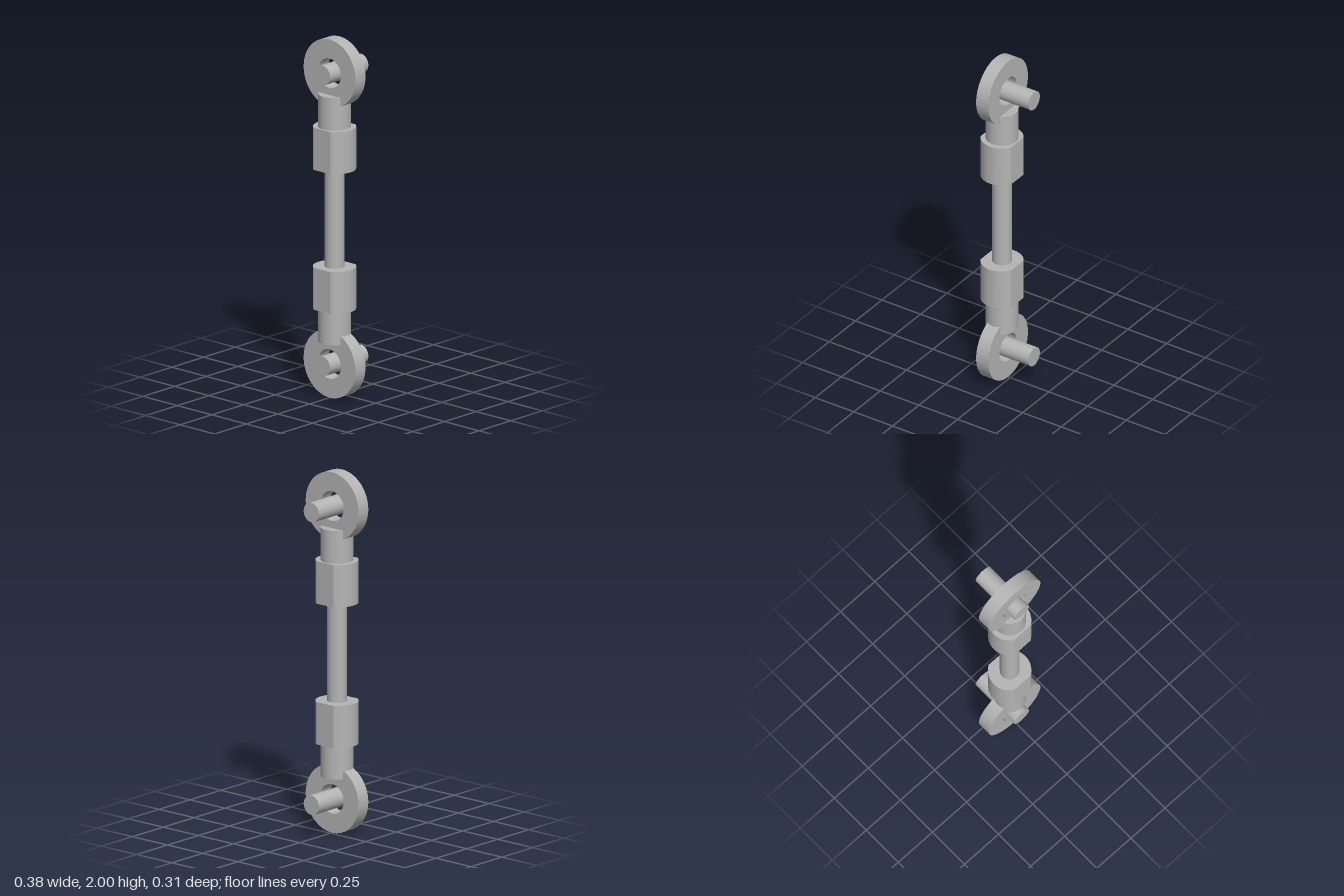
import * as THREE from 'three';
import { toCreasedNormals } from 'three/addons/utils/BufferGeometryUtils.js';

const AXIS_Z = 0.053; // depth of the rod axis
const EYE_Y = 1.812;

export function createModel() {
  const group = new THREE.Group();
  const steel = new THREE.MeshStandardMaterial({ color: 0xb4b4b4 });
  steel.name = 'steel grey';

  const add = (parent, name, geometry, x, y, z) => {
    const mesh = new THREE.Mesh(geometry, steel);
    mesh.name = name;
    mesh.position.set(x, y, z);
    parent.add(mesh);
    return mesh;
  };
  const extrude = (shape, depth) => {
    const geo = new THREE.ExtrudeGeometry(shape, { depth, bevelEnabled: false, curveSegments: 64 });
    geo.translate(0, 0, -depth / 2);
    return toCreasedNormals(geo, 0.4);
  };

  // Eye: flat ring with a round hole
  const ring = new THREE.Shape().absarc(0, 0, 0.188, 0, Math.PI * 2, false);
  ring.holes.push(new THREE.Path().absarc(0, 0, 0.082, 0, Math.PI * 2, true));
  const eyeGeo = extrude(ring, 0.079);

  // Nut: round body with flats front and back
  const r = 0.116, a = Math.asin(0.099 / r);
  const nut = new THREE.Shape();
  nut.absarc(0, 0, r, -a, a, false);
  nut.absarc(0, 0, r, Math.PI - a, Math.PI + a, false);
  nut.closePath();
  const nutGeo = extrude(nut, 0.235).rotateX(-Math.PI / 2);

  const collarGeo = new THREE.CylinderGeometry(0.088, 0.088, 0.182, 64);
  const pinGeo = new THREE.CylinderGeometry(0.054, 0.054, 0.302, 48).rotateX(Math.PI / 2);

  // Matching ends, mirrored about mid height
  for (const [s, label] of [[1, 'upper'], [-1, 'lower']]) {
    const end = new THREE.Group();
    end.name = label + 'End';
    const at = (y) => 1 + s * (y - 1);
    add(end, label + 'Eye', eyeGeo, 0, at(EYE_Y), AXIS_Z);
    add(end, label + 'Pin', pinGeo, 0, at(EYE_Y), -0.004);
    add(end, label + 'Collar', collarGeo, 0, at(1.599), AXIS_Z);
    add(end, label + 'Nut', nutGeo, 0, at(1.3905), AXIS_Z);
    group.add(end);
  }

  // Rod joining the two nuts
  add(group, 'rod', new THREE.CylinderGeometry(0.053, 0.053, 0.56, 48), 0, 1, AXIS_Z);

  return group;
}
